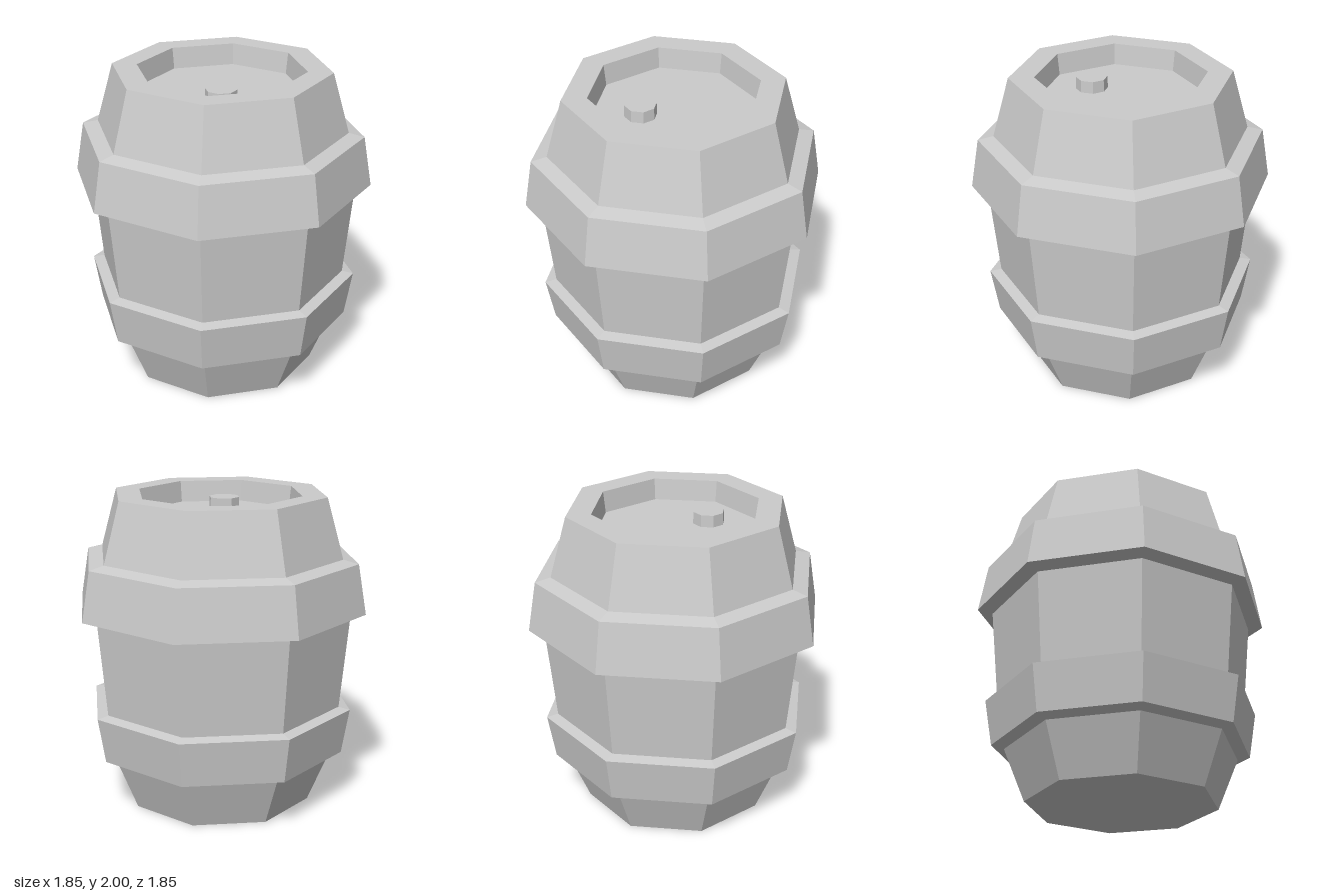
import * as THREE from 'three';

const SIDES = 8;
const TURN = THREE.MathUtils.degToRad(12.2); // the octagon is slightly rotated

export function createModel() {
  const group = new THREE.Group();
  group.name = 'barrel';
  const material = new THREE.MeshStandardMaterial({ color: 0xcccccc, flatShading: true });

  const add = (name, geometry) => {
    const mesh = new THREE.Mesh(geometry, material);
    mesh.name = name;
    group.add(mesh);
    return mesh;
  };

  // Barrel wall with both hoops and the recessed lid, as [radius, height]
  const profile = [
    [0, 0], [0.602, 0],               // base
    [0.737, 0.33],                    // lower staves
    [0.817, 0.352], [0.866, 0.645],   // lower hoop
    [0.793, 0.66], [0.85, 1.258],     // middle staves
    [0.946, 1.28], [0.892, 1.597],    // upper hoop
    [0.794, 1.62], [0.687, 2],        // upper staves
    [0.53, 2], [0.514, 1.865],        // rim and recess wall
    [0, 1.865],                       // lid
  ].map(([r, y]) => new THREE.Vector2(r, y));
  add('barrelBody', new THREE.LatheGeometry(profile, SIDES, TURN));

  // Small plug on the lid
  const plug = add('plug', new THREE.CylinderGeometry(0.098, 0.1, 0.08, SIDES, 1, false, TURN));
  plug.position.set(-0.092, 1.9, 0.197);

  return group;
}
